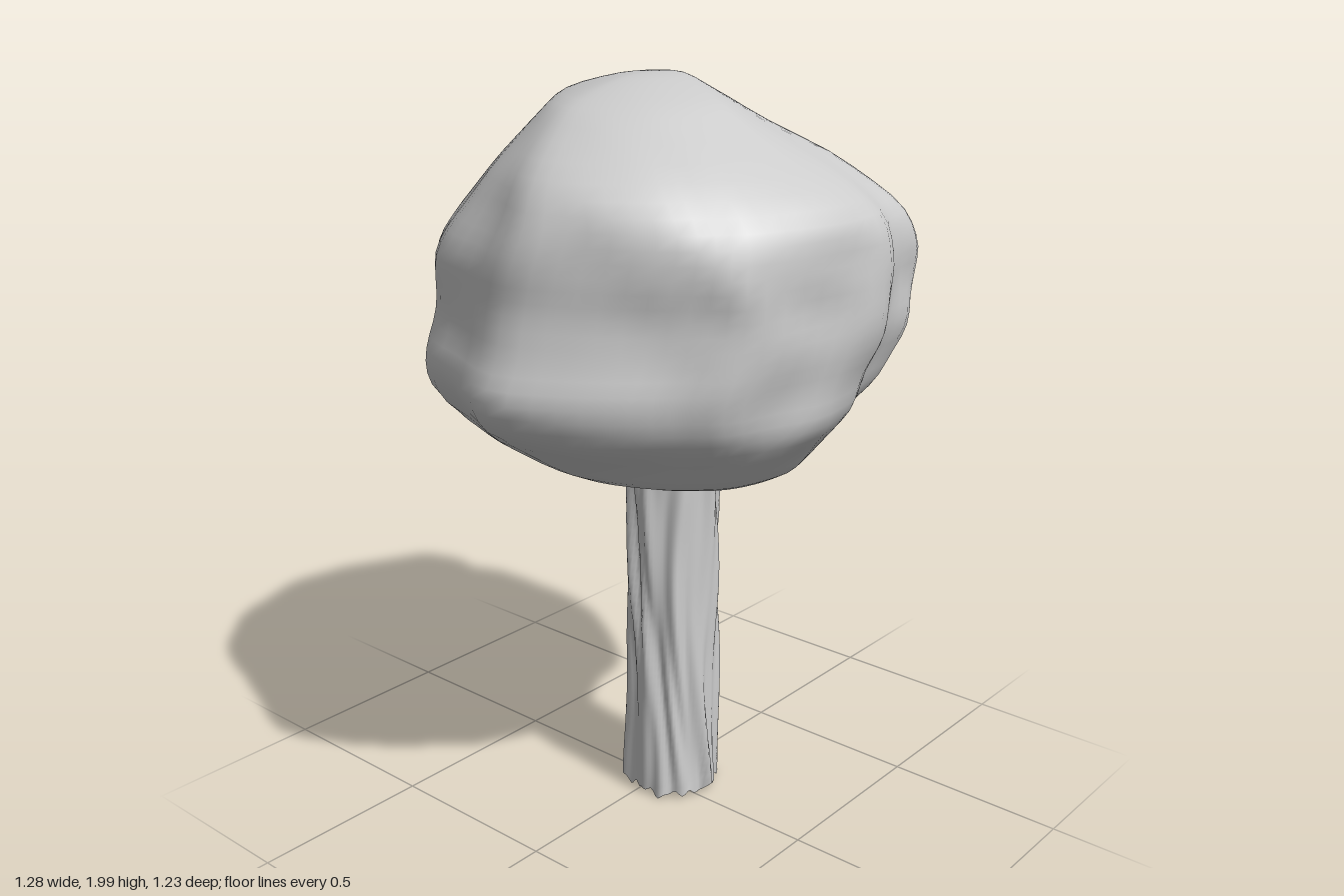
import * as THREE from 'three';

const TAU = Math.PI * 2;

// Closed surface through rings of points (each ring wraps round, ordered from +z towards +x, bottom to top)
function loft(rings) {
  const n = rings[0].length, pos = [], index = [];
  rings.forEach(r => r.forEach(p => pos.push(p.x, p.y, p.z)));
  for (let j = 0; j < rings.length - 1; j++) {
    for (let i = 0; i < n; i++) {
      const a = j * n + i, b = j * n + (i + 1) % n;
      index.push(a, b, b + n, a, b + n, a + n);
    }
  }
  const g = new THREE.BufferGeometry();
  g.setAttribute('position', new THREE.Float32BufferAttribute(pos, 3));
  g.setIndex(index);
  g.computeVertexNormals();
  return g;
}

// Plan outline of the crown (x, z), from the front round to its left
const plan = [
  [0, .59], [.15, .6], [.27, .55], [.41, .53], [.48, .48], [.55, .38], [.61, .23], [.64, .04],
  [.63, -.15], [.575, -.25], [.59, -.39], [.55, -.49], [.45, -.54], [.24, -.605], [0, -.6],
  [-.26, -.55], [-.38, -.46], [-.49, -.36], [-.57, -.17], [-.635, .02], [-.58, .18],
  [-.49, .32], [-.4, .43], [-.32, .52], [-.16, .57],
];

// Crown extents at rising heights: y, min x, max x, min z, max z
const levels = [
  [1.04, .03, .03, .03, .03], [1.02, -.1, .12, -.12, .2], [1.0, -.18, .2, -.22, .32],
  [1.03, -.33, .41, -.36, .41], [1.1, -.45, .53, -.53, .48], [1.2, -.59, .58, -.59, .56],
  [1.3, -.64, .6, -.595, .575], [1.4, -.61, .625, -.6, .595], [1.5, -.595, .635, -.6, .595],
  [1.6, -.59, .61, -.56, .6], [1.7, -.555, .58, -.5, .58], [1.8, -.49, .49, -.43, .46],
  [1.9, -.34, .33, -.35, .28], [1.95, -.23, .24, -.3, .18], [1.99, -.08, .16, -.16, .04],
  [2.0, .05, .05, -.05, -.05],
];

// Soft lumps of the foliage
function lump(x, y, z) {
  const u = x + .12 * Math.sin(6 * y + 5 * z), v = y + .1 * Math.sin(7 * x + 4 * z + 1), w = z + .12 * Math.sin(6 * x - 5 * y);
  return .6 * Math.sin(9 * u + 5 * v + 1) * Math.sin(8 * v - 6 * w) +
    .5 * Math.sin(9 * w - 6 * v + 3 * u) * Math.cos(9 * u - 5 * w + 2) +
    .3 * Math.sin(17 * u + 9 * w) * Math.sin(16 * v + 9 * u + 1);
}

function crownGeometry() {
  const outline = new THREE.CatmullRomCurve3(
    plan.map(([x, z]) => new THREE.Vector3(x / .64, 0, z / .6)), true);
  const across = new THREE.CatmullRomCurve3(
    levels.map(l => new THREE.Vector3(l[1], l[0], l[2])), false, 'catmullrom');
  const deep = new THREE.CatmullRomCurve3(
    levels.map(l => new THREE.Vector3(l[3], l[0], l[4])), false, 'catmullrom');
  const rows = 45, cols = 72, rings = [];
  for (let j = 0; j <= rows; j++) {
    const a = across.getPoint(j / rows), d = deep.getPoint(j / rows);
    // the outline rounds off towards the top and bottom
    const round = Math.min(1, (Math.abs(a.y - 1.45) / .45) ** 2);
    const upper = THREE.MathUtils.smoothstep(a.y, 1.55, 1.95);
    const lower = 1 - THREE.MathUtils.smoothstep(a.y, 1, 1.4);
    const ring = [];
    for (let i = 0; i < cols; i++) {
      const o = outline.getPoint(i / cols);
      o.lerp(o.clone().normalize(), round);
      // the front left and back right shoulders slope more, as does the front left underside
      const diagonal = Math.max(0, 2 * o.x * o.z / o.lengthSq());
      o.multiplyScalar(1 - diagonal * (.17 * upper + (o.x > 0 ? .17 : .04) * lower));
      const x = (a.x + a.z) / 2 + o.x * (a.z - a.x) / 2;
      const z = (d.x + d.z) / 2 + o.z * (d.z - d.x) / 2;
      const k = 1 + .03 * lump(x, a.y, z) * Math.min(1, Math.hypot(x, z) / .5);
      ring.push(new THREE.Vector3(x * k, a.y, z * k));
    }
    rings.push(ring);
  }
  return loft(rings);
}

// Bark ridges that wander and twist as they climb
function bark(t, y) {
  const w = t + .15 * Math.sin(5 * y + 2 * t) + .3 * y;
  return .006 * Math.sin(8 * w + 1.5 * Math.sin(6 * y)) +
    .004 * Math.sin(13 * w + 2 * Math.sin(4 * y + t)) +
    .004 * Math.sin(5 * w + 8 * y) + .002 * Math.sin(19 * w - 3 * y);
}

function trunkRing(y, radius, rag, cols = 96) {
  return Array.from({ length: cols }, (_, i) => {
    const t = i / cols * TAU;
    const r = radius + bark(t, y);
    const jag = rag * (Math.sin(7 * t) + Math.sin(13 * t + 1) + Math.sin(22 * t));
    return new THREE.Vector3(.033 + r * Math.sin(t), y + jag, .027 + r * Math.cos(t));
  });
}

export function createModel() {
  const model = new THREE.Group();

  const add = (name, geometry, side) => {
    const material = new THREE.MeshStandardMaterial({ color: 0xcccccc, roughness: .9, side });
    const mesh = new THREE.Mesh(geometry, material);
    mesh.name = name;
    model.add(mesh);
  };

  // Hollow trunk with a ragged foot
  const rows = 44, rings = [];
  for (let j = 0; j <= rows; j++) {
    const y = .02 + 1.1 * j / rows;
    rings.push(trunkRing(y, .128 - .008 * y, j ? 0 : .005));
  }
  add('trunk', loft(rings), THREE.DoubleSide);

  // Lip turned in at the foot of the trunk
  add('trunkLip', loft([trunkRing(.035, .1, 0), trunkRing(.02, .128, .005)]), THREE.DoubleSide);

  // Crown of foliage
  add('crown', crownGeometry(), THREE.FrontSide);
  return model;
}
